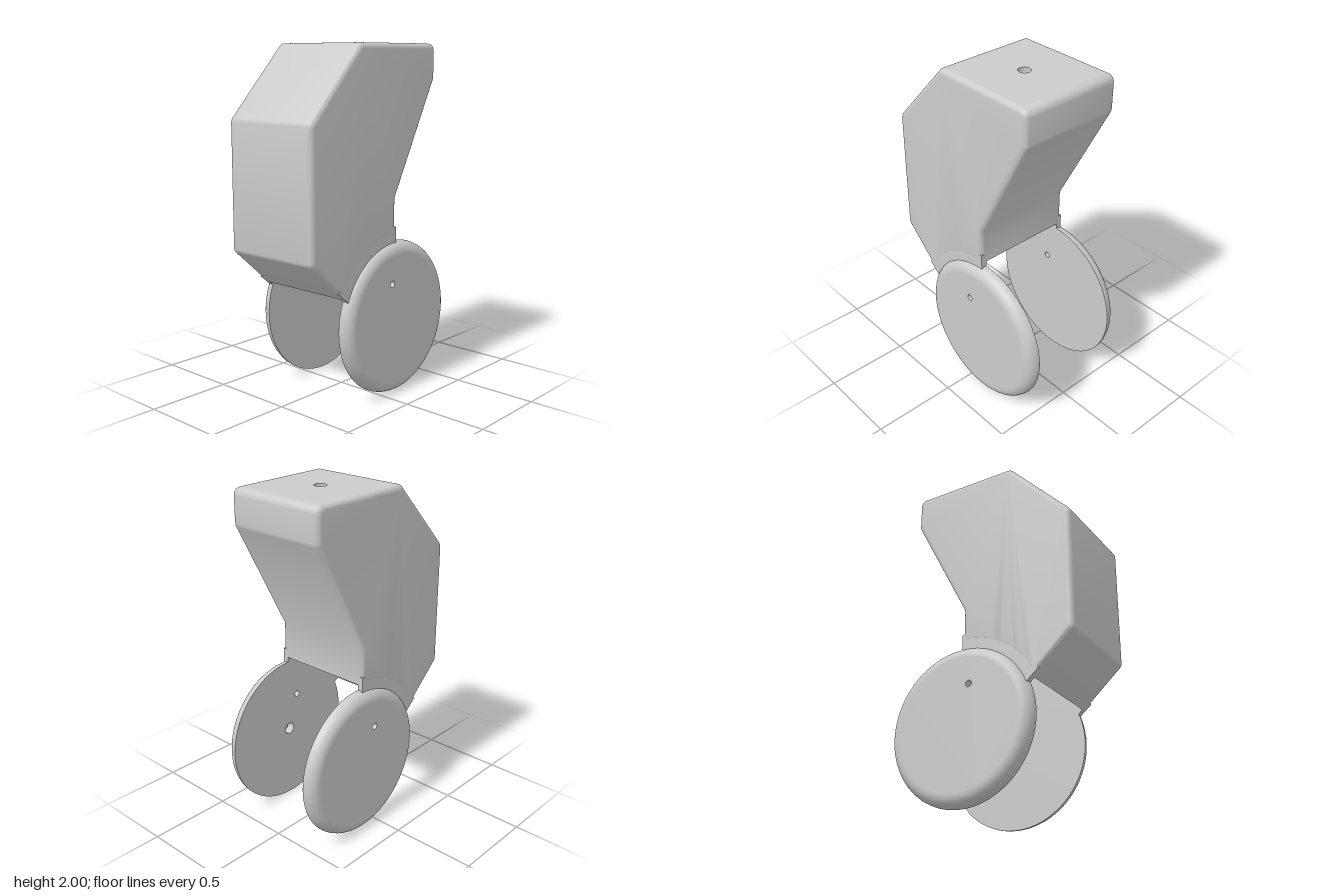
import * as THREE from 'three';
import { toCreasedNormals } from 'three/addons/utils/BufferGeometryUtils.js';

const AXLE_Z = -0.12, AXLE_Y = 0.447;      // wheel centre
const BODY_HALF = 0.31, BEVEL = 0.03;
const PIN = { z: -0.05, y: 0.66, r: 0.019 }; // small hole through both wheels
const BORE = 0.035;                        // blind hole radius

const grey = new THREE.MeshStandardMaterial({ color: 0xcccccc });
const greyThin = new THREE.MeshStandardMaterial({ color: 0xcccccc, side: THREE.DoubleSide });

function part(name, geometry, material = grey) {
  const mesh = new THREE.Mesh(geometry, material);
  mesh.name = name;
  return mesh;
}

function circle(path, x, y, r) {
  path.absarc(x, y, r, 0, Math.PI * 2, false);
  return path;
}

// Shapes are drawn with z to the right and y up, then turned to face along x
const turn = (geometry, x) => geometry.rotateY(-Math.PI / 2).translate(x, 0, 0);

// Side profile: [z, y, corner rounding]
function bodyShape() {
  const corners = [
    [-0.12, 1.14, 0], [-0.467, 1.8, 0.015], [-0.467, 2, 0.05],
    [0.185, 2, 0.02], [0.57, 1.59, 0.02], [0.57, 0.86, 0.02], [0.32, 0.637, 0],
  ];
  const pts = corners.map(([z, y]) => new THREE.Vector2(z, y));
  const shape = new THREE.Shape().moveTo(pts[0].x, pts[0].y);
  for (let i = 1; i < pts.length - 1; i++) {
    const p = pts[i], d = corners[i][2];
    const a = pts[i - 1].clone().sub(p).setLength(d).add(p);
    const b = pts[i + 1].clone().sub(p).setLength(d).add(p);
    shape.lineTo(a.x, a.y);
    shape.quadraticCurveTo(p.x, p.y, b.x, b.y);
  }
  // Round clearance above the axle
  const dz = 0.32 - AXLE_Z, dy = 0.637 - AXLE_Y;
  shape.lineTo(0.32, 0.637);
  shape.absarc(AXLE_Z, AXLE_Y, Math.hypot(dz, dy), Math.atan2(dy, dz), Math.PI / 2, false);
  return shape;
}

// Drop the flat top so that a face with a hole can take its place
function withoutTop(geometry) {
  const src = geometry.attributes, pos = [], nor = [];
  for (let i = 0; i < src.position.count; i += 3) {
    if ([0, 1, 2].every((k) => src.position.getY(i + k) > 1.9999)) continue;
    for (let k = i; k < i + 3; k++) {
      pos.push(src.position.getX(k), src.position.getY(k), src.position.getZ(k));
      nor.push(src.normal.getX(k), src.normal.getY(k), src.normal.getZ(k));
    }
  }
  const out = new THREE.BufferGeometry();
  out.setAttribute('position', new THREE.Float32BufferAttribute(pos, 3));
  out.setAttribute('normal', new THREE.Float32BufferAttribute(nor, 3));
  return out;
}

function createBody() {
  const body = new THREE.Group();
  body.name = 'body';
  const core = BODY_HALF - BEVEL;
  const shell = new THREE.ExtrudeGeometry(bodyShape(), {
    depth: core * 2, curveSegments: 12, bevelEnabled: true, bevelSegments: 6,
    bevelSize: BEVEL, bevelThickness: BEVEL, bevelOffset: -BEVEL,
  });
  body.add(part('bodyShell', withoutTop(toCreasedNormals(turn(shell, core), 0.6))));

  // Top face with its blind hole
  const z0 = -0.417, z1 = 0.165;
  const top = new THREE.Shape([
    new THREE.Vector2(-core, -z1), new THREE.Vector2(core, -z1),
    new THREE.Vector2(core, -z0), new THREE.Vector2(-core, -z0),
  ]);
  top.holes.push(circle(new THREE.Path(), 0, -AXLE_Z, BORE));
  body.add(part('topFace', new THREE.ShapeGeometry(top, 32).rotateX(-Math.PI / 2).translate(0, 2, 0)));
  const depth = 0.2;
  const wall = part('topHoleWall', new THREE.CylinderGeometry(BORE, BORE, depth, 32, 1, true), greyThin);
  wall.position.set(0, 2 - depth / 2, AXLE_Z);
  const floor = part('topHoleFloor', new THREE.CircleGeometry(BORE, 32).rotateX(-Math.PI / 2));
  floor.position.set(0, 2 - depth, AXLE_Z);
  body.add(wall, floor);
  return body;
}

// Thin web that joins the body side to the wheel
function createCheek(s) {
  const shape = new THREE.Shape();
  shape.absarc(AXLE_Z, AXLE_Y, 0.53, 0.442, Math.PI / 2, false);
  shape.absarc(AXLE_Z, AXLE_Y, 0.435, Math.PI / 2, 0.384, true);
  const geometry = new THREE.ExtrudeGeometry(shape, { depth: 0.034, curveSegments: 24, bevelEnabled: false });
  return part('cheek', toCreasedNormals(turn(geometry, s > 0 ? 0.309 : -0.275), 0.5));
}

function createWheel(s) {
  const wheel = new THREE.Group();
  wheel.name = s > 0 ? 'leftWheel' : 'rightWheel';
  const inner = 0.275, width = 0.07, radius = 0.447, fillet = 0.066;

  // Rounded rim
  const profile = [new THREE.Vector2(radius, 0)];
  for (let i = 0; i <= 10; i++) {
    const a = (i / 10) * Math.PI / 2;
    profile.push(new THREE.Vector2(radius - fillet + fillet * Math.cos(a), width - fillet + fillet * Math.sin(a)));
  }
  const rim = part('rim', new THREE.LatheGeometry(profile, 80).rotateZ(-s * Math.PI / 2));
  rim.position.set(s * inner, AXLE_Y, AXLE_Z);
  wheel.add(rim);

  // Flat faces; the left wheel has an axle bore on its inside
  const face = (name, r, x, bored) => {
    const shape = circle(new THREE.Shape(), AXLE_Z, AXLE_Y, r);
    shape.holes.push(circle(new THREE.Path(), PIN.z, PIN.y, PIN.r));
    if (bored) shape.holes.push(circle(new THREE.Path(), AXLE_Z, AXLE_Y, BORE));
    wheel.add(part(name, turn(new THREE.ShapeGeometry(shape, 80), s * x), greyThin));
  };
  face('innerFace', radius, inner, s > 0);
  face('outerFace', radius - fillet, inner + width, false);

  // Hole walls
  const tube = (name, r, length, y, z) => {
    const geometry = new THREE.CylinderGeometry(r, r, length, 32, 1, true).rotateZ(Math.PI / 2);
    const mesh = part(name, geometry, greyThin);
    mesh.position.set(s * (inner + length / 2), y, z);
    wheel.add(mesh);
  };
  tube('pinHole', PIN.r, width, PIN.y, PIN.z);
  if (s > 0) {
    const depth = 0.05;
    tube('axleBore', BORE, depth, AXLE_Y, AXLE_Z);
    const floor = part('axleBoreFloor', new THREE.CircleGeometry(BORE, 32).rotateY(-Math.PI / 2));
    floor.position.set(inner + depth, AXLE_Y, AXLE_Z);
    wheel.add(floor);
  }
  return wheel;
}

export function createModel() {
  const model = new THREE.Group();
  model.name = 'wheeledLeg';
  model.add(createBody());
  for (const s of [1, -1]) model.add(createWheel(s), createCheek(s));
  return model;
}
